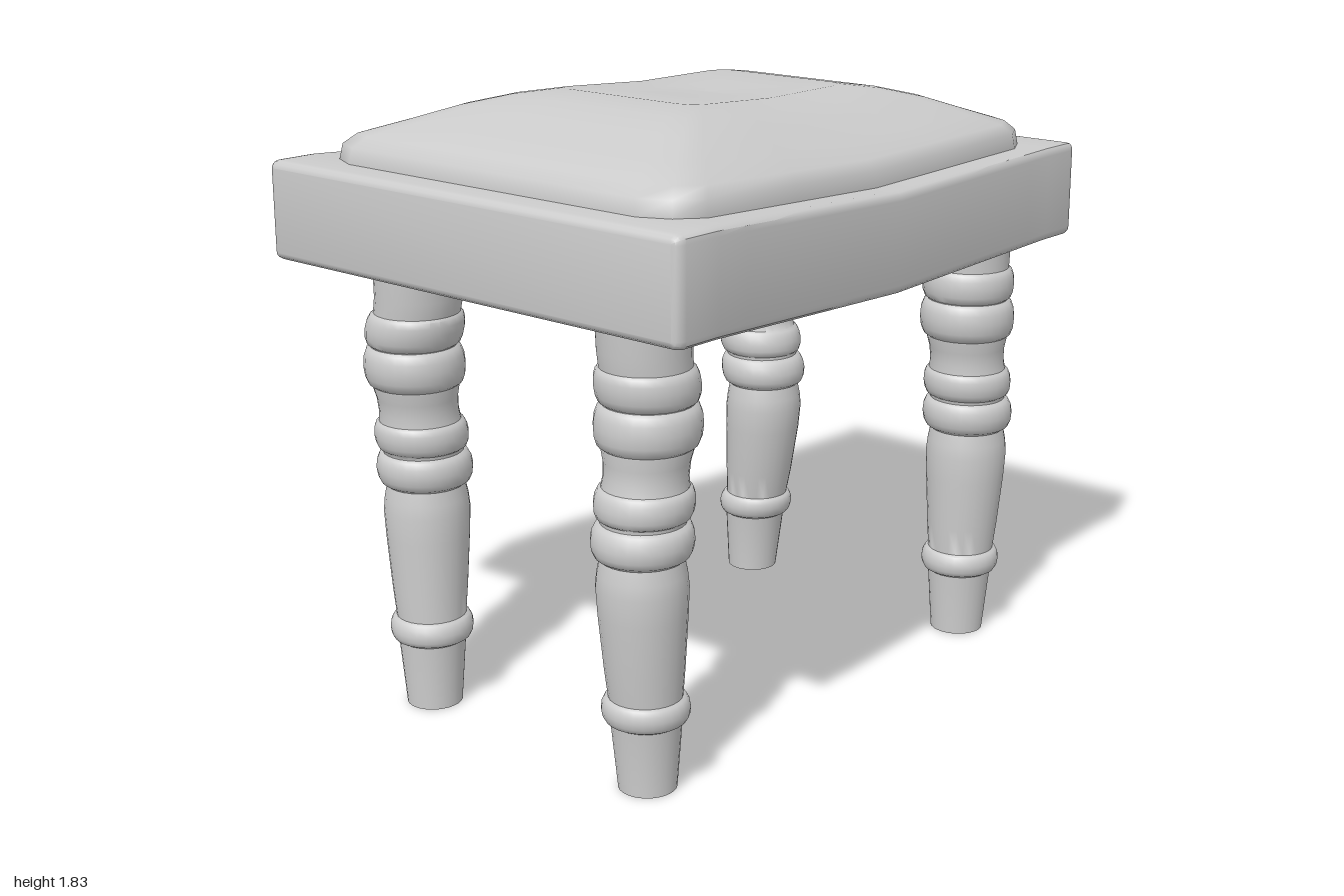
import * as THREE from 'three';
import { toCreasedNormals } from 'three/addons/utils/BufferGeometryUtils.js';

const material = new THREE.MeshStandardMaterial({ color: 0xcccccc });

// Moves every vertex of a geometry by a rule
function deform(geometry, rule) {
  const pos = geometry.attributes.position;
  const p = new THREE.Vector3();
  for (let i = 0; i < pos.count; i++) {
    p.fromBufferAttribute(pos, i);
    rule(p);
    pos.setXYZ(i, p.x, p.y, p.z);
  }
  geometry.computeVertexNormals();
  return geometry;
}

// Crooked seat: wider towards -x, and the -x half tilts upwards
function crook(p) {
  const x = THREE.MathUtils.clamp(p.x, -0.85, 0.85);
  p.z *= 1 - 0.098 * x;
  p.y += 0.059 * Math.max(0, -x);
}

function part(name, geometry) {
  const mesh = new THREE.Mesh(geometry, material);
  mesh.name = name;
  return mesh;
}

// Thick seat board with softened edges
function seatFrame() {
  const w = 0.717, y0 = 1.305, y1 = 1.595, r = 0.025, bevel = 0.03;
  const s = new THREE.Shape();
  s.moveTo(-w + r, y0);
  s.lineTo(w - r, y0);
  s.quadraticCurveTo(w, y0, w, y0 + r);
  s.lineTo(w, y1 - r);
  s.quadraticCurveTo(w, y1, w - r, y1);
  s.lineTo(-w + r, y1);
  s.quadraticCurveTo(-w, y1, -w, y1 - r);
  s.lineTo(-w, y0 + r);
  s.quadraticCurveTo(-w, y0, -w + r, y0);
  const geometry = new THREE.ExtrudeGeometry(s, {
    depth: 2 - 2 * bevel, steps: 16, curveSegments: 3,
    bevelThickness: bevel, bevelSize: 0.022, bevelOffset: -0.022, bevelSegments: 3,
  });
  geometry.translate(0, 0, bevel - 1).rotateY(Math.PI / 2);
  return part('seatFrame', toCreasedNormals(deform(geometry, crook), 0.6));
}

// Domed cushion: concentric rings of a rectangle with cut corners
function cushion() {
  const quarter = [[1, 0], [1, 0.4], [1, 0.8], [0.955, 0.93], [0.86, 1], [0.43, 1]];
  const half = [...quarter, [0, 1], ...quarter.slice(1).reverse().map(([u, v]) => [-u, v])];
  const outline = [...half, ...half.map(([u, v]) => [-u, -v])];
  const rings = [
    [0, 0.206], [0.2, 0.208], [0.4, 0.213], [0.54, 0.193], [0.68, 0.16],
    [0.83, 0.112], [0.95, 0.075], [0.99, 0.045], [1, 0], [1, -0.05],
  ];
  const n = outline.length, positions = [], index = [];
  rings.forEach(([s, rise], i) => {
    outline.forEach(([u, v], j) => {
      positions.push(u * s * 0.898, 1.595 + rise, v * s * 0.628);
      if (i === rings.length - 1) return;
      const a = i * n + j, b = i * n + (j + 1) % n;
      index.push(a, b + n, a + n, a, b, b + n);
    });
  });
  const geometry = new THREE.BufferGeometry();
  geometry.setAttribute('position', new THREE.Float32BufferAttribute(positions, 3));
  geometry.setIndex(index);
  return part('cushion', deform(geometry, crook));
}

// Rounded bead of a turned leg, as [radius, height] points
function bead(y, h, r, neck) {
  const points = [];
  for (let i = 0; i <= 6; i++) {
    const a = (i / 6 - 0.5) * Math.PI;
    points.push([neck + (r - neck) * Math.cos(a), y + h * Math.sin(a)]);
  }
  return points;
}

const legProfile = [
  [0, 0], [0.083, 0], [0.083, 0.002], [0.1, 0.2],
  ...bead(0.24, 0.037, 0.124, 0.104),
  [0.112, 0.36], [0.124, 0.52], [0.128, 0.6], [0.124, 0.64], [0.116, 0.68],
  ...bead(0.733, 0.05, 0.142, 0.118),
  ...bead(0.837, 0.044, 0.138, 0.12),
  [0.116, 0.91], [0.118, 0.95], [0.126, 0.985],
  ...bead(1.05, 0.06, 0.148, 0.126),
  ...bead(1.162, 0.05, 0.144, 0.126),
  [0.128, 1.26], [0.132, 1.42],
].map(([r, y]) => new THREE.Vector2(r, y));

// Turned leg whose axis wanders: offsets [x, z] at mid height and near the top
function leg(name, x, z, mid, high) {
  const axis = [[0, 0, 0], [0.65, ...mid], [1.1, ...high], [1.3, 0, 0], [2, 0, 0]];
  const geometry = deform(new THREE.LatheGeometry(legProfile, 28), (p) => {
    const k = axis.findIndex((a) => a[0] > p.y);
    const [y0, x0, z0] = axis[k - 1], [y1, x1, z1] = axis[k];
    const t = THREE.MathUtils.smoothstep(p.y, y0, y1);
    p.x += x + x0 + (x1 - x0) * t;
    p.z += z + z0 + (z1 - z0) * t;
  });
  return part(name, toCreasedNormals(geometry, 0.75));
}

export function createModel() {
  const stool = new THREE.Group();
  stool.name = 'stool';
  stool.add(
    seatFrame(),
    cushion(),
    leg('frontRightLeg', -0.755, 0.44, [-0.015, 0], [0.015, 0]),
    leg('backRightLeg', -0.755, -0.43, [0.028, -0.035], [0, -0.035]),
    leg('frontLeftLeg', 0.755, 0.44, [0.022, 0], [0, 0]),
    leg('backLeftLeg', 0.755, -0.43, [-0.01, 0.055], [0, 0]),
  );
  return stool;
}
